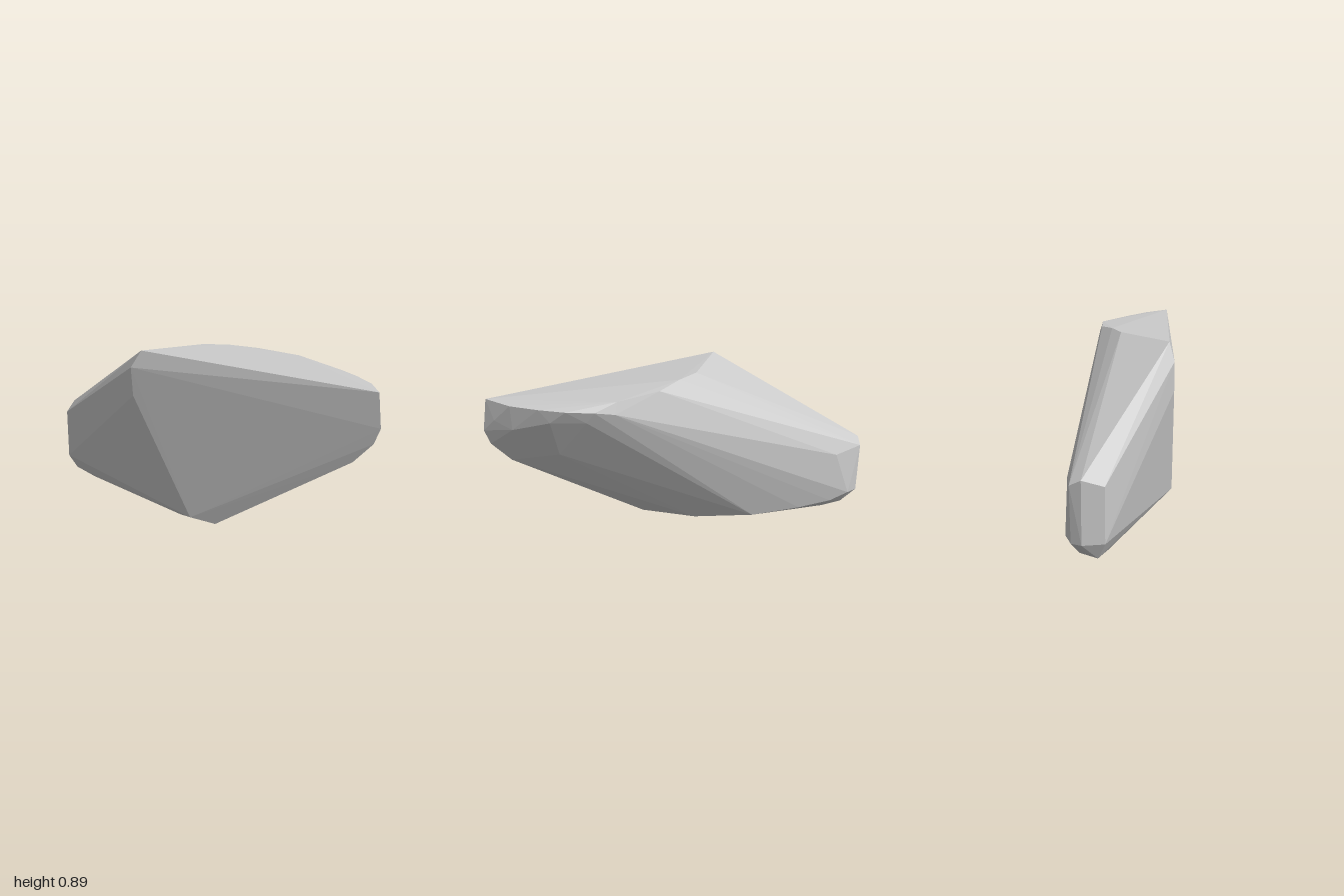
import * as THREE from 'three';
import { ConvexGeometry } from 'three/addons/geometries/ConvexGeometry.js';

// Corners of the faceted boulder, grouped by the side they bound
const topRim = [
  [-0.29, 0.89, 0.225], [-0.06, 0.895, -0.02], [0.06, 0.895, -0.07], [0.2, 0.88, -0.13],
  [0.43, 0.868, -0.135], [0.98, 0.85, 0.23],
];
const frontFace = [
  [-0.34, 0.8, 0.25], [-0.33, 0.65, 0.25], [0, 0.03, 0.25], [0.14, 0.015, 0.235],
  [0.87, 0.49, 0.235], [0.97, 0.6, 0.24], [1, 0.68, 0.24],
];
const roundedShoulder = [
  [0.45, 0.81, -0.153], [0.55, 0.83, -0.135], [0.68, 0.838, -0.08], [0.79, 0.842, 0],
  [0.9, 0.845, 0.1], [0.85, 0.62, 0.155], [0.89, 0.71, 0.115], [0.67, 0.55, 0.065],
  [0.6, 0.7, -0.01], [0.74, 0.77, -0.02], [0.58, 0.77, -0.1], [0.48, 0.72, -0.085],
  [0.96, 0.75, 0.18],
];
const leftEnd = [
  [-0.98, 0.1, -0.065], [-0.98, 0.37, -0.065], [-1, 0.405, -0.17], [-1, 0.1, -0.17],
  [-0.98, 0.375, -0.225], [-0.81, 0.36, -0.245], [-0.9, 0.11, -0.25], [-0.975, 0.1, -0.22],
];
// The base edge bows outward below the overhanging back
const base = [
  [-0.95, 0.02, -0.1], [-0.9, 0.025, -0.185], [-0.8, 0.07, -0.225], [-0.8, 0, -0.145],
  [-0.62, 0.05, -0.185], [-0.36, 0.035, -0.12], [-0.08, 0.02, 0.03],
  [-0.8, 0, -0.06], [-0.1, 0, 0.18], [0.03, 0, 0.18],
];

export function createModel() {
  const group = new THREE.Group();
  group.name = 'rock';
  const stone = new THREE.MeshStandardMaterial({ color: 0xcacaca });
  stone.name = 'stone grey';

  // The boulder is the convex hull of its corners, with flat facets
  const corners = [...topRim, ...frontFace, ...roundedShoulder, ...leftEnd, ...base]
    .map((p) => new THREE.Vector3(...p));
  const boulder = new THREE.Mesh(new ConvexGeometry(corners), stone);
  boulder.name = 'boulder';
  group.add(boulder);
  return group;
}
